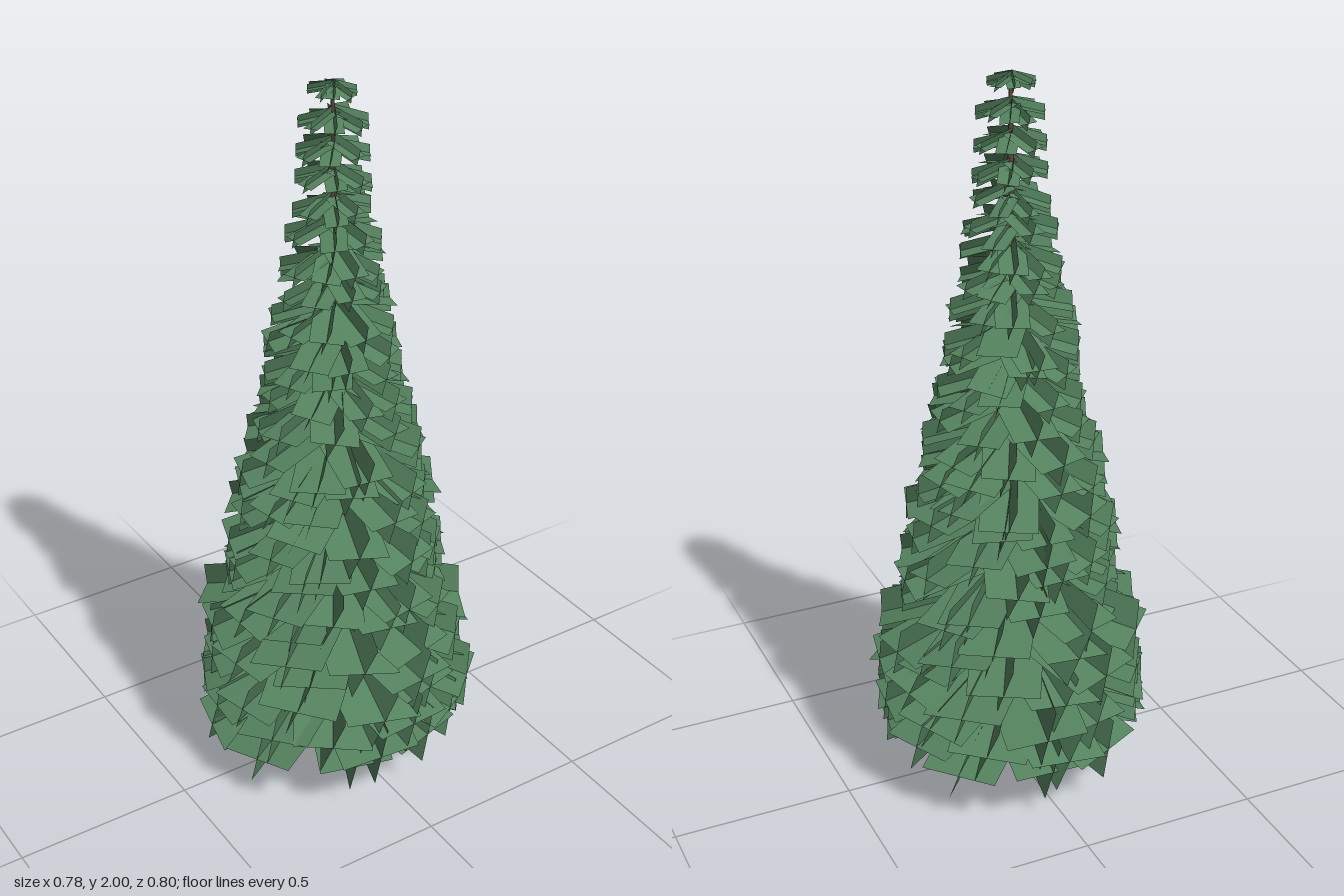
import * as THREE from 'three';
import { mergeGeometries } from 'three/addons/utils/BufferGeometryUtils.js';

// Branch reach at a given root height: [height, reach]
const PROFILE = [
  [0.25, 0.365], [0.35, 0.38], [0.56, 0.35], [0.64, 0.3], [0.8, 0.285], [1.0, 0.25], [1.1, 0.235],
  [1.16, 0.19], [1.35, 0.175], [1.45, 0.14], [1.6, 0.125], [1.67, 0.1], [1.92, 0.085], [1.985, 0.06],
];

function reachAt(y) {
  let i = 1;
  while (i < PROFILE.length - 1 && PROFILE[i][0] < y) i++;
  const [y0, r0] = PROFILE[i - 1], [y1, r1] = PROFILE[i];
  return THREE.MathUtils.mapLinear(y, y0, y1, r0, r1);
}

function seeded(seed) {
  return () => (seed = (seed * 16807) % 2147483647) / 2147483647;
}

// Needle card running out along +x, turned about its length by roll
function makeCard(reach, width, roll) {
  const card = new THREE.PlaneGeometry(reach, width);
  return card.rotateX(-Math.PI / 2 + roll).translate(reach / 2, 0, 0);
}

// One bough: a flat card crossed by a leaning upright one,
// both sheared downwards so that their outer ends stay plumb
function makeBough(reach, slope, roll, angle, y) {
  const bough = mergeGeometries([
    makeCard(reach, reach * 0.58, roll),
    makeCard(reach, reach * 0.46, roll + Math.PI / 2 - 0.33),
  ]);
  const p = bough.attributes.position;
  for (let i = 0; i < p.count; i++) p.setY(i, p.getY(i) - slope * p.getX(i));
  return bough.rotateY(angle).translate(0, y, 0);
}

export function createModel() {
  const tree = new THREE.Group();
  tree.name = 'coniferTree';
  const random = seeded(4127);
  const vary = (amount) => (random() * 2 - 1) * amount;

  const bark = new THREE.MeshStandardMaterial({ color: 0x5c473d });
  const needles = new THREE.MeshStandardMaterial({
    color: 0x55835f, side: THREE.DoubleSide, flatShading: true,
  });

  // Tapering trunk
  const trunk = new THREE.Mesh(new THREE.CylinderGeometry(0.004, 0.044, 1.98, 12), bark);
  trunk.name = 'trunk';
  trunk.position.y = 0.99;
  tree.add(trunk);

  // Tiers of boughs, more widely spaced towards the tip
  const foliage = new THREE.Group();
  foliage.name = 'foliage';
  const tiers = 27;
  for (let t = 0; t < tiers; t++) {
    const f = t / (tiers - 1);
    const y = 0.25 + 1.735 * (0.88 * f + 0.12 * f * f);
    const count = f > 0.8 ? 8 : 9;
    const turn = t * 2.4;
    const boughs = [];
    for (let i = 0; i < count; i++) {
      const angle = turn + ((i + vary(0.25)) / count) * Math.PI * 2;
      const lift = f === 1 ? 0 : vary(f > 0.85 ? 0.008 : 0.02);
      const reach = reachAt(y) * (1 + vary(0.05));
      boughs.push(makeBough(reach, 0.25 + vary(0.06), vary(0.16), angle, y + lift));
    }
    const tier = new THREE.Mesh(mergeGeometries(boughs), needles);
    tier.name = `boughTier${t + 1}`;
    foliage.add(tier);
  }
  tree.add(foliage);
  return tree;
}
